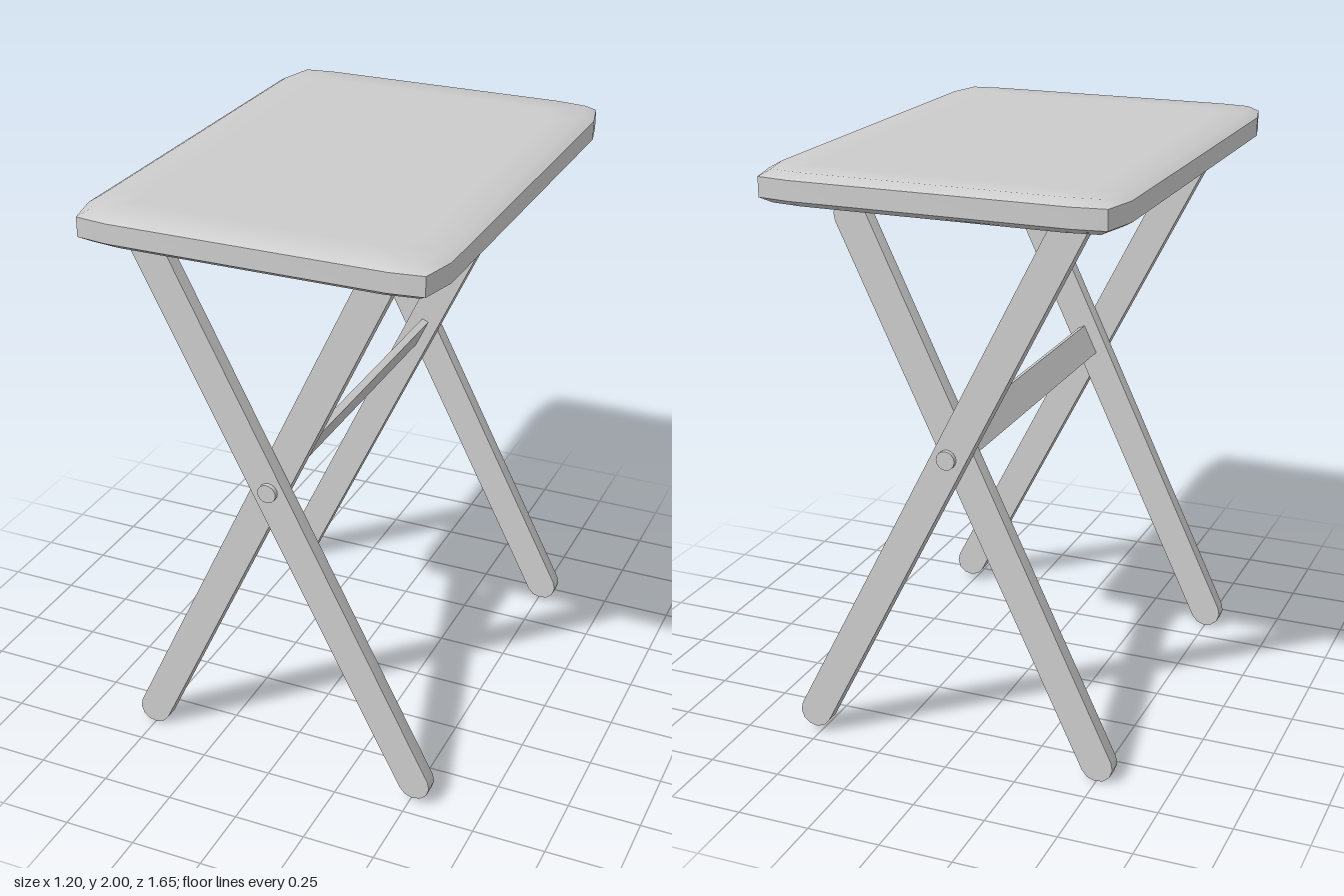
import * as THREE from 'three';
import { toCreasedNormals } from 'three/addons/utils/BufferGeometryUtils.js';

const material = new THREE.MeshStandardMaterial({ color: 0xcccccc });
const PIVOT_Y = 1.09;
const HALF_WIDTH = 0.056;

function part(name, geometry, parent) {
  const mesh = new THREE.Mesh(geometry, material);
  mesh.name = name;
  parent.add(mesh);
  return mesh;
}

// Tabletop: one rounded-corner outline stacked in rings, with chamfered rims
function tabletopGeometry() {
  const corner = [[0.6, 0.685], [0.57, 0.81], [0.46, 0.825]];
  const flip = [...corner].reverse();
  const outline = [
    ...corner,
    ...flip.map(([x, z]) => [-x, z]),
    ...corner.map(([x, z]) => [-x, -z]),
    ...flip.map(([x, z]) => [x, -z]),
  ];
  // x scale, z scale, height
  const rings = [
    [0, 0, 2], [0.77, 0.84, 2], [0.945, 0.963, 2], [1, 1, 1.98],
    [1, 1, 1.915], [0.945, 0.963, 1.895], [0.77, 0.84, 1.895], [0, 0, 1.895],
  ];
  const positions = [];
  const index = [];
  const n = outline.length;
  rings.forEach(([sx, sz, y], r) => {
    outline.forEach(([x, z], i) => {
      positions.push(x * sx, y, z * sz);
      if (r === rings.length - 1) return;
      const a = r * n + i, b = r * n + (i + 1) % n;
      if (r > 0) index.push(a, b, a + n);
      if (r < rings.length - 2) index.push(b, b + n, a + n);
    });
  });
  const geometry = new THREE.BufferGeometry();
  geometry.setAttribute('position', new THREE.Float32BufferAttribute(positions, 3));
  geometry.setIndex(index);
  return toCreasedNormals(geometry, 0.8);
}

// Flat leg from foot to top, with a round foot and a round or level-cut top
function legGeometry(foot, top, roundTop) {
  const along = Math.atan2(top[1] - foot[1], top[0] - foot[0]);
  const points = [];
  const cap = ([x, y], start) => {
    for (let i = 0; i <= 6; i++) {
      const a = start + (Math.PI * i) / 6;
      points.push(new THREE.Vector2(x + HALF_WIDTH * Math.cos(a), y + HALF_WIDTH * Math.sin(a)));
    }
  };
  cap(foot, along + Math.PI / 2);
  if (roundTop) {
    cap(top, along - Math.PI / 2);
  } else {
    const half = HALF_WIDTH / Math.sin(along);
    points.push(new THREE.Vector2(top[0] + half, top[1]), new THREE.Vector2(top[0] - half, top[1]));
  }
  const geometry = new THREE.ExtrudeGeometry(new THREE.Shape(points), { depth: 0.05, bevelEnabled: false });
  return toCreasedNormals(geometry.translate(0, 0, -0.025), 0.6);
}

export function createModel() {
  const model = new THREE.Group();
  model.name = 'foldingTable';

  part('tabletop', tabletopGeometry(), model);

  // Crossed legs and pivot bolts at both ends
  const innerFoot = [-0.5, 0.057], innerTop = [0.345, 1.842];
  const outer = legGeometry([0.515, 0.077], [-0.423, 1.91], false);
  const inner = legGeometry(innerFoot, innerTop, true);
  const bolt = new THREE.CylinderGeometry(0.032, 0.032, 0.05, 16).rotateX(Math.PI / 2);
  for (const side of [1, -1]) {
    const end = side > 0 ? 'front' : 'back';
    part(end + 'OuterLeg', outer, model).position.z = side * 0.67;
    part(end + 'InnerLeg', inner, model).position.z = side * 0.62;
    part(end + 'PivotBolt', bolt, model).position.set(0, PIVOT_Y, side * 0.686);
  }

  // Board joining the inner legs, tilted with them
  const stretcher = part('stretcher', new THREE.BoxGeometry(0.026, 0.112, 1.19), model);
  stretcher.position.set(0, 1.105, 0);
  stretcher.rotation.z = -Math.atan2(innerTop[0] - innerFoot[0], innerTop[1] - innerFoot[1]);

  // Rod between the tops of the inner legs
  const rod = part('topRod', new THREE.CylinderGeometry(0.028, 0.028, 1.2, 8).rotateX(Math.PI / 2), model);
  rod.position.set(innerTop[0], 1.846, 0);

  // Wire guide that holds the rod under the top
  const wirePoints = [[-0.43, 1.91], [-0.43, 1.805], [0.385, 1.805], [0.393, 1.91]]
    .map(([x, y]) => new THREE.Vector3(x, y, 0));
  const wire = new THREE.Group();
  wire.name = 'wireGuide';
  model.add(wire);
  for (let i = 0; i < 3; i++) {
    const path = new THREE.LineCurve3(wirePoints[i], wirePoints[i + 1]);
    part('wireSegment', new THREE.TubeGeometry(path, 1, 0.01, 8), wire);
    if (i > 0) part('wireBend', new THREE.SphereGeometry(0.01, 8, 6), wire).position.copy(wirePoints[i]);
  }

  return model;
}
